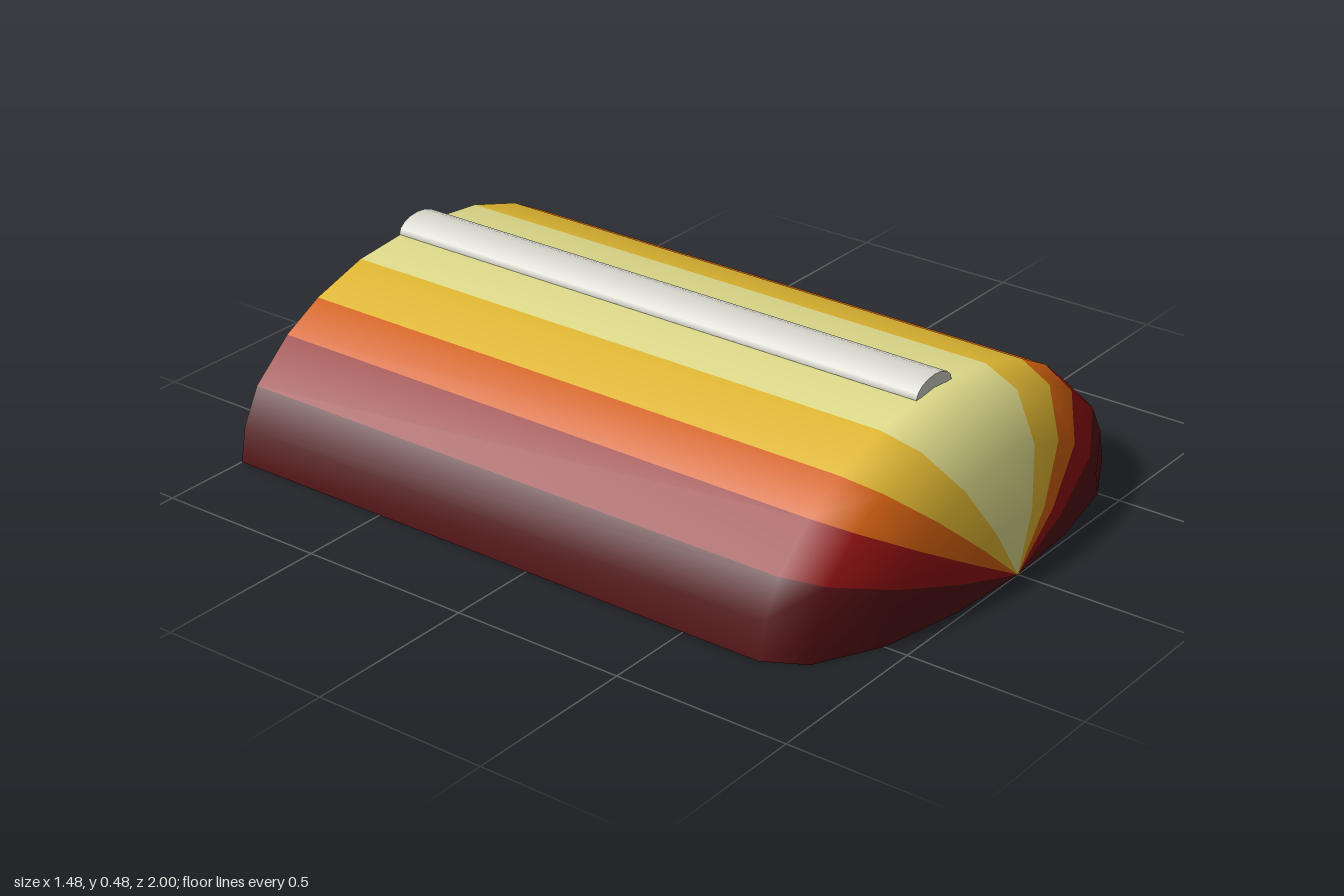
import * as THREE from 'three';

const paint = (name, color) => {
  const m = new THREE.MeshStandardMaterial({ color, side: THREE.DoubleSide });
  m.name = name;
  return m;
};

export function createModel() {
  const group = new THREE.Group();
  const maroon = paint('maroon', 0x520f12);
  const red = paint('red', 0x900f10);
  const orange = paint('orange', 0xd2600f);
  const gold = paint('gold', 0xe0b732);
  const cream = paint('cream', 0xdfdb8b);
  const grey = paint('light grey', 0xd8d8ce);

  // Arched cross-section, from the left edge over the crown to the right edge
  const half = [[0.74, 0], [0.72, 0.1], [0.665, 0.2], [0.54, 0.305], [0.415, 0.37], [0.24, 0.423]];
  const arch = [...half, [0, 0.447], ...half.map(([x, y]) => [-x, y]).reverse()];

  // Stations along z with the scale of the arch; the nose closes in one point
  const stations = [[-1, 1], [0.73, 1], [0.84, 0.917], [0.935, 0.67], [0.983, 0.345]];
  const n = arch.length;
  const positions = [];
  for (const [z, s] of stations) for (const [x, y] of arch) positions.push(x * s, y * s, z);
  const tip = positions.length / 3;
  positions.push(0, 0, 1);

  // Shell: one material group for each lengthwise strip
  const bands = [0, 0, 1, 2, 3, 4, 4, 3, 2, 1, 0, 0];
  const shellGeo = new THREE.BufferGeometry();
  const index = [];
  bands.forEach((band, j) => {
    const start = index.length;
    for (let i = 0; i < stations.length - 1; i++) {
      const a = i * n + j, b = a + n;
      index.push(a, a + 1, b, b, a + 1, b + 1);
    }
    const last = (stations.length - 1) * n + j;
    index.push(last, last + 1, tip);
    shellGeo.addGroup(start, index.length - start, band);
  });
  shellGeo.setAttribute('position', new THREE.Float32BufferAttribute(positions, 3));
  shellGeo.setIndex(index);
  shellGeo.computeVertexNormals();
  const shell = new THREE.Mesh(shellGeo, [maroon, red, orange, gold, cream]);
  shell.name = 'stripedShell';
  group.add(shell);

  // Flat floor following the lower outline of the shell
  const left = stations.map(([z, s]) => new THREE.Vector2(0.74 * s, z));
  const right = left.map((p) => new THREE.Vector2(-p.x, p.y)).reverse();
  const outline = new THREE.Shape([...left, new THREE.Vector2(0, 1), ...right]);
  const floor = new THREE.Mesh(new THREE.ShapeGeometry(outline).rotateX(Math.PI / 2), maroon);
  floor.name = 'floor';
  group.add(floor);

  // Half-round ridge along the crown
  const ridgeGeo = new THREE.CylinderGeometry(1, 1, 1.73, 8, 1, false, 0, Math.PI)
    .rotateZ(Math.PI / 2)
    .rotateY(Math.PI / 2)
    .scale(0.08, 0.043, 1)
    .translate(0, 0.441, -0.135);
  const ridge = new THREE.Mesh(ridgeGeo, grey);
  ridge.name = 'ridge';
  group.add(ridge);

  return group;
}
